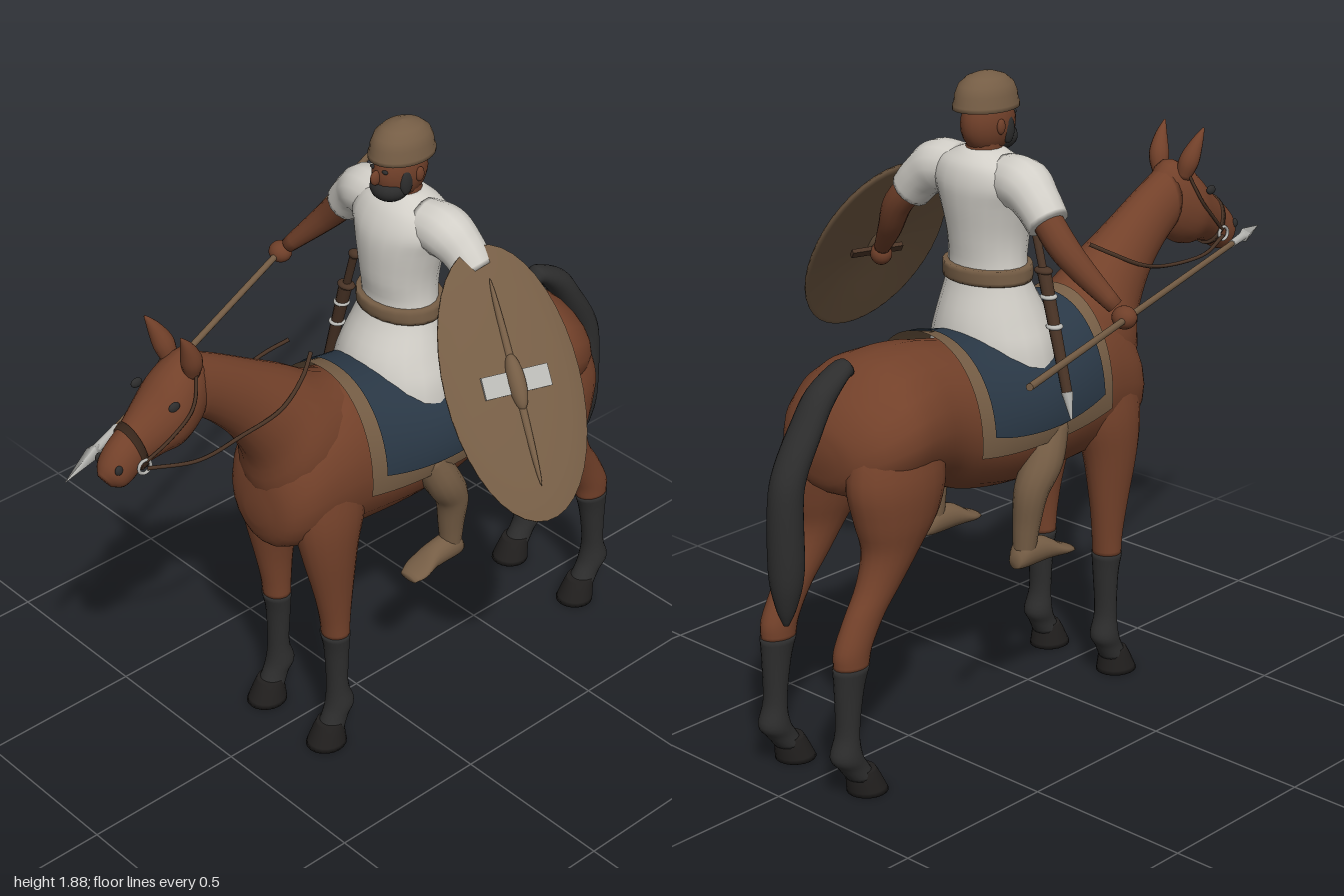
import * as THREE from 'three';
import { ParametricGeometry } from 'three/addons/geometries/ParametricGeometry.js';

const V = (x, y, z) => new THREE.Vector3(x, y, z);
const colours = {
  bayCoat: 0x73412a, blackHair: 0x2d2d2d, hoofHorn: 0x211f1e, navyCloth: 0x2a3846,
  tanHide: 0x755d45, skin: 0x6f3f29, whiteLinen: 0xd2cfc8, greyMetal: 0xb8b8b4, darkLeather: 0x4a3426,
};
const M = {};
for (const [name, color] of Object.entries(colours)) {
  M[name] = new THREE.MeshStandardMaterial({ color });
  M[name].name = name;
}
const navySheet = M.navyCloth, hideSheet = M.tanHide;
navySheet.side = hideSheet.side = M.whiteLinen.side = THREE.DoubleSide;

// Closed skin over elliptical rings { c: centre, u, v: half axes }
function loft(rings, n = 20) {
  const pos = [], idx = [];
  for (const r of rings) for (let i = 0; i < n; i++) {
    const a = i / n * Math.PI * 2;
    pos.push(...r.c.clone().addScaledVector(r.u, Math.cos(a)).addScaledVector(r.v, Math.sin(a)).toArray());
  }
  const m = rings.length;
  for (let j = 0; j < m - 1; j++) for (let i = 0; i < n; i++) {
    const k = (i + 1) % n, a = j * n + i, b = j * n + k, c = a + n, d = b + n;
    idx.push(a, b, d, a, d, c);
  }
  pos.push(...rings[0].c.toArray(), ...rings[m - 1].c.toArray());
  for (let i = 0; i < n; i++) {
    const k = (i + 1) % n, e = (m - 1) * n;
    idx.push(m * n, k, i, m * n + 1, e + i, e + k);
  }
  // turn the faces outward
  let vol = 0;
  const P = i => V(pos[3 * i], pos[3 * i + 1], pos[3 * i + 2]);
  for (let i = 0; i < idx.length; i += 3) vol += P(idx[i]).dot(P(idx[i + 1]).cross(P(idx[i + 2])));
  if (vol < 0) idx.reverse();
  const g = new THREE.BufferGeometry();
  g.setAttribute('position', new THREE.Float32BufferAttribute(pos, 3));
  g.setIndex(idx);
  g.computeVertexNormals();
  return g;
}
const spline = pts => new THREE.CatmullRomCurve3(pts, false, 'catmullrom', 0.5);

// Body form from sections [z1, y1, z2, y2, halfWidth, x]: opposite edge points and width
function form(secs, side = 1, sub = 4) {
  const A = spline(secs.map(s => V(0, s[1], s[0])));
  const B = spline(secs.map(s => V(0, s[3], s[2])));
  const W = spline(secs.map(s => V((s[5] || 0) * side, s[4], 0)));
  const rings = [], steps = (secs.length - 1) * sub;
  for (let i = 0; i <= steps; i++) {
    const a = A.getPoint(i / steps), b = B.getPoint(i / steps), w = W.getPoint(i / steps);
    const c = a.clone().add(b).multiplyScalar(0.5);
    rings.push({ c: c.clone().setX(w.x), u: a.sub(c), v: V(Math.max(w.y, 0.003), 0, 0) });
  }
  return loft(rings);
}
// Level sections [y, zFront, zBack, halfWidth, x]
const levels = (rows, side, sub) => form(rows.map(([y, f, b, w, x]) => [f, y, b, y, w, x]), side, sub);

// Round limb from points [x, y, z, radius]
function limb(pts, side = 1, n = 14) {
  const C = spline(pts.map(p => V(p[0] * side, p[1], p[2])));
  const R = spline(pts.map(p => V(p[3], 0, 0)));
  const rings = [], steps = (pts.length - 1) * 5;
  for (let i = 0; i <= steps; i++) {
    const t = i / steps, d = C.getTangent(t), r = R.getPoint(t).x;
    const u = V(0, 0, 1).addScaledVector(d, -d.z).normalize();
    rings.push({ c: C.getPoint(t), u: u.clone().multiplyScalar(r), v: d.cross(u).multiplyScalar(r) });
  }
  return loft(rings, n);
}
const cord = (pts, r) => new THREE.TubeGeometry(new THREE.CatmullRomCurve3(pts), 28, r, 6);
const ball = (x, y, z, rx, ry, rz) => new THREE.SphereGeometry(1, 20, 14).scale(rx, ry, rz).translate(x, y, z);
// Straight rod between two points, tapering
function rod(a, b, ra, rb, n = 10) {
  const g = new THREE.CylinderGeometry(rb, ra, a.distanceTo(b), n);
  const q = new THREE.Quaternion().setFromUnitVectors(V(0, 1, 0), b.clone().sub(a).normalize());
  return g.applyQuaternion(q).translate(...a.clone().lerp(b, 0.5).toArray());
}

export function createModel() {
  const model = new THREE.Group(), horse = new THREE.Group(), rider = new THREE.Group();
  horse.name = 'horse'; rider.name = 'rider';
  model.add(horse, rider);
  const add = (parent, name, geo, mat) => {
    const m = new THREE.Mesh(geo, mat);
    m.name = name;
    parent.add(m);
    return m;
  };

  // Horse trunk, neck and head
  add(horse, 'trunk', form([
    [.387, .88, .387, .80, .04], [.365, 1.0, .365, .73, .12], [.30, 1.1, .31, .70, .17], [.2, 1.17, .2, .685, .19],
    [.1, 1.185, .1, .68, .198], [-.05, 1.15, -.05, .68, .212], [-.2, 1.13, -.2, .69, .217], [-.35, 1.155, -.35, .72, .205],
    [-.47, 1.18, -.45, .765, .205], [-.58, 1.185, -.56, .80, .228], [-.67, 1.165, -.67, .81, .238],
    [-.76, 1.10, -.76, .82, .20], [-.81, 1.03, -.81, .85, .13], [-.825, .97, -.825, .92, .04]]), M.bayCoat);
  add(horse, 'neck', form([
    [.05, 1.17, .28, .78, .15], [.16, 1.21, .375, .90, .15], [.26, 1.275, .40, 1.02, .115],
    [.38, 1.345, .46, 1.13, .086], [.50, 1.415, .53, 1.21, .072], [.60, 1.465, .60, 1.27, .068]]), M.bayCoat);
  add(horse, 'head', form([
    [.55, 1.43, .565, 1.30, .04], [.61, 1.48, .60, 1.245, .072], [.69, 1.44, .665, 1.21, .088],
    [.75, 1.385, .73, 1.205, .074], [.82, 1.325, .785, 1.19, .054], [.87, 1.285, .82, 1.165, .052],
    [.90, 1.245, .85, 1.155, .045], [.912, 1.21, .88, 1.165, .02]]), M.bayCoat);
  add(horse, 'tail', form([
    [-.70, 1.175, -.70, 1.14, .02], [-.73, 1.192, -.735, 1.13, .036], [-.83, 1.14, -.79, 1.07, .045],
    [-.89, 1.06, -.84, .99, .05], [-.96, .95, -.885, .90, .05], [-.99, .85, -.895, .82, .05],
    [-.995, .65, -.897, .65, .05], [-.98, .55, -.92, .55, .03], [-.96, .495, -.945, .495, .008]]), M.blackHair);

  for (const s of [1, -1]) {
    const side = s > 0 ? 'left' : 'right';
    // Legs: coat above, black stocking and hoof below
    add(horse, side + 'ForeLeg', levels([
      [.95, .32, .08, .06, .11], [.82, .33, .09, .08, .115], [.70, .31, .125, .07, .125], [.55, .272, .145, .052, .13],
      [.45, .25, .155, .045, .13], [.385, .242, .16, .044, .13]], s), M.bayCoat);
    add(horse, side + 'ForeStocking', levels([
      [.39, .246, .158, .047, .13], [.32, .232, .162, .04, .13], [.2, .228, .165, .035, .132],
      [.13, .234, .145, .042, .134], [.09, .25, .165, .038, .135], [.05, .27, .185, .042, .135]], s), M.blackHair);
    add(horse, side + 'ForeHoof', levels([
      [.075, .268, .188, .04, .135], [.05, .282, .186, .047, .135], [0, .307, .18, .058, .135]], s), M.hoofHorn);
    add(horse, side + 'HindLeg', levels([
      [1.08, -.54, -.75, .06, .11], [.9, -.50, -.822, .10, .13], [.78, -.53, -.81, .092, .14], [.69, -.60, -.79, .07, .145],
      [.6, -.67, -.815, .054, .145], [.52, -.735, -.865, .045, .145], [.44, -.785, -.905, .044, .145],
      [.385, -.80, -.908, .042, .145]], s), M.bayCoat);
    add(horse, side + 'HindStocking', levels([
      [.39, -.797, -.911, .045, .145], [.32, -.82, -.908, .038, .145], [.2, -.84, -.907, .035, .145],
      [.13, -.832, -.928, .042, .145], [.09, -.81, -.90, .038, .145], [.05, -.785, -.87, .042, .145]], s), M.blackHair);
    add(horse, side + 'HindHoof', levels([
      [.075, -.785, -.868, .04, .145], [.05, -.77, -.868, .047, .145], [0, -.745, -.862, .058, .145]], s), M.hoofHorn);
    // Ears, eyes, nostrils and tack
    add(horse, side + 'HorseEar', limb([[.045, 1.43, .625, .022], [.058, 1.48, .635, .03], [.068, 1.53, .655, .02], [.075, 1.575, .68, .003]], s), M.bayCoat);
    add(horse, side + 'HorseEye', ball(.079 * s, 1.38, .715, .009, .014, .018), M.blackHair);
    add(horse, side + 'Nostril', ball(.042 * s, 1.235, .878, .008, .014, .012), M.blackHair);
    add(horse, side + 'BitRing', new THREE.TorusGeometry(.02, .005, 6, 16).rotateY(Math.PI / 2).translate(.058 * s, 1.222, .805), M.greyMetal);
    add(horse, side + 'CheekStrap', cord([V(.058 * s, 1.235, .80), V(.081 * s, 1.29, .73), V(.09 * s, 1.36, .66), V(.06 * s, 1.46, .62)], .005), M.darkLeather);
    add(horse, side + 'Rein', cord([V(.06 * s, 1.215, .80), V(.10 * s, 1.195, .66), V(.09 * s, 1.195, .5), V(.105 * s, 1.23, .37), V(.08 * s, 1.28, .27), V(.045 * s, 1.315, .21)], .006), M.darkLeather);
  }
  add(horse, 'noseband', form([[.815, 1.335, .775, 1.185, .06], [.832, 1.322, .79, 1.18, .058]], 1, 1), M.darkLeather);

  // Saddle cloth draped over the back: border sheet below, navy sheet above
  const backTop = spline([V(.13, 1.2, .195), V(0, 1.165, .21), V(-.15, 1.14, .222), V(-.3, 1.155, .218), V(-.42, 1.185, .208)]);
  const drape = (t0, t1, reach, off) => new ParametricGeometry((u, v, out) => {
    const p = backTop.getPoint(t0 + (t1 - t0) * u), a = (v * 2 - 1) * (reach + .12 * Math.sin(Math.PI * u));
    const cy = .92, ry = p.y - cy + off;
    const spread = Math.sign(Math.sin(a)) * Math.pow(Math.abs(Math.sin(a)), .92);
    out.set((p.z + .008 + off) * spread, cy + ry * Math.cos(a), p.x);
  }, 20, 40);
  add(horse, 'saddleClothBorder', drape(0, 1, 1.72, .008), hideSheet);
  add(horse, 'saddleCloth', drape(.09, .91, 1.52, .014), navySheet);

  // Rider's tunic and belt
  add(rider, 'tunic', levels([
    [1.02, .02, -.30, .20], [1.12, .015, -.305, .188], [1.2, -.005, -.295, .162], [1.32, -.065, -.262, .125],
    [1.42, -.055, -.268, .122], [1.52, -.05, -.282, .145], [1.58, -.06, -.285, .165], [1.63, -.085, -.272, .145],
    [1.66, -.115, -.245, .085], [1.672, -.125, -.225, .055]]), M.whiteLinen);
  add(rider, 'belt', levels([[1.30, -.055, -.275, .139], [1.32, -.05, -.277, .138], [1.345, -.052, -.277, .136]], 1, 2), hideSheet);

  for (const s of [1, -1]) {
    const side = s > 0 ? 'left' : 'right';
    add(rider, side + 'Sleeve', limb([[.08, 1.595, -.175, .07], [.16, 1.59, -.185, .076], [.215, 1.555, -.195, .066], [.262, 1.505, -.2, .06]], s), M.whiteLinen);
    add(rider, side + 'Calf', limb([[.185, .90, -.10, .05], [.20, .80, -.15, .056], [.195, .72, -.195, .05], [.185, .62, -.205, .04], [.18, .53, -.21, .032]], s), hideSheet);
    add(rider, side + 'Foot', form([
      [-.25, .53, -.25, .49, .02, .18], [-.22, .57, -.22, .485, .036, .18], [-.14, .56, -.13, .485, .038, .18],
      [-.08, .525, -.07, .485, .045, .183], [-.035, .505, -.035, .485, .032, .186]], s), hideSheet);
  }
  // Arms, one holding the spear and one the shield
  add(rider, 'rightArm', limb([[-.22, 1.55, -.195, .042], [-.30, 1.465, -.20, .043], [-.36, 1.40, -.185, .037], [-.45, 1.30, -.14, .023]]), M.skin);
  add(rider, 'rightHand', ball(-.474, 1.272, -.13, .036, .032, .034), M.skin);
  add(rider, 'leftArm', limb([[.22, 1.55, -.195, .042], [.30, 1.465, -.21, .043], [.36, 1.37, -.19, .035], [.445, 1.285, -.14, .024]]), M.skin);
  add(rider, 'leftHand', ball(.455, 1.262, -.135, .032, .034, .032), M.skin);

  // Head with beard and helmet
  add(rider, 'neckOfRider', rod(V(0, 1.62, -.18), V(0, 1.72, -.17), .055, .048, 16), M.skin);
  add(rider, 'face', ball(0, 1.735, -.16, .064, .088, .088), M.skin);
  add(rider, 'nose', ball(0, 1.735, -.07, .011, .022, .018), M.skin);
  add(rider, 'beard', ball(0, 1.693, -.122, .056, .042, .055), M.blackHair);
  for (const s of [1, -1]) {
    add(rider, 'riderEye', ball(.024 * s, 1.757, -.082, .01, .006, .006), M.blackHair);
    add(rider, 'riderEar', ball(.064 * s, 1.735, -.175, .009, .022, .014), M.skin);
    add(rider, 'sideburn', ball(.052 * s, 1.72, -.135, .013, .04, .022), M.blackHair);
  }
  const dome = [[.94, 0], [1.02, .0], [1.02, .012], [.97, .02], [.95, .04], [.84, .066], [.6, .086], [.3, .096], [0, .1]];
  add(rider, 'helmet', new THREE.LatheGeometry(dome.map(p => new THREE.Vector2(p[0], p[1])), 28)
    .scale(.08, 1, .102).translate(0, 1.78, -.167), hideSheet);

  // Spear
  const butt = V(-.73, 1.305, -.78), tip = V(-.045, 1.205, .99), along = t => butt.clone().lerp(tip, t);
  add(model, 'spearShaft', rod(butt, along(.9), .01, .009), hideSheet);
  add(model, 'spearSocket', rod(along(.86), along(.92), .011, .013), M.greyMetal);
  add(model, 'spearBladeBase', rod(along(.9), along(.925), .008, .021, 4), M.greyMetal);
  add(model, 'spearBlade', rod(along(.925), tip, .021, .001, 4), M.greyMetal);

  // Sword hanging at the right hip
  add(rider, 'swordGrip', rod(V(-.10, 1.44, -.08), V(-.14, 1.33, -.09), .012, .012), M.darkLeather);
  add(rider, 'swordPommel', ball(-.096, 1.45, -.08, .02, .014, .016), M.darkLeather);
  add(rider, 'swordGuard', ball(-.142, 1.325, -.09, .03, .012, .022), M.darkLeather);
  add(rider, 'scabbard', rod(V(-.145, 1.32, -.09), V(-.25, 1.0, -.11), .02, .015), M.darkLeather);
  add(rider, 'scabbardTip', rod(V(-.25, 1.0, -.11), V(-.272, .925, -.115), .017, .003), M.greyMetal);
  for (const t of [.2, .45]) add(rider, 'scabbardBand', ball(-.145 - .105 * t, 1.32 - .32 * t, -.09 - .02 * t, .025, .01, .024), M.greyMetal);

  // Oval shield, local y along its length and z facing outward
  const shield = new THREE.Group();
  shield.name = 'shield';
  const up = V(-.23, .31, -.08).normalize(), out = V(.75, .62, .25);
  out.addScaledVector(up, -out.dot(up)).normalize();
  shield.applyMatrix4(new THREE.Matrix4().makeBasis(up.clone().cross(out), up, out).setPosition(.495, 1.287, -.128));
  model.add(shield);
  const bowl = [[0, -.008], [.5, -.012], [.95, -.022], [1, -.018], [1, -.01], [.75, .002], [.4, .01], [0, .014]];
  add(shield, 'shieldBoard', new THREE.LatheGeometry(bowl.map(p => new THREE.Vector2(p[0], p[1])), 40)
    .rotateX(Math.PI / 2).scale(.2, .385, 1), hideSheet);
  add(shield, 'shieldSpine', ball(0, 0, .008, .012, .29, .013), hideSheet);
  add(shield, 'shieldBoss', ball(0, 0, .012, .026, .08, .03), hideSheet);
  for (const s of [1, -1]) {
    const plate = add(shield, 'bossPlate', new THREE.BoxGeometry(.075, .062, .008), M.greyMetal);
    plate.position.set(.062 * s, 0, .014);
  }
  add(shield, 'shieldGrip', new THREE.BoxGeometry(.16, .024, .014).translate(0, 0, -.03), M.darkLeather);
  return model;
}
